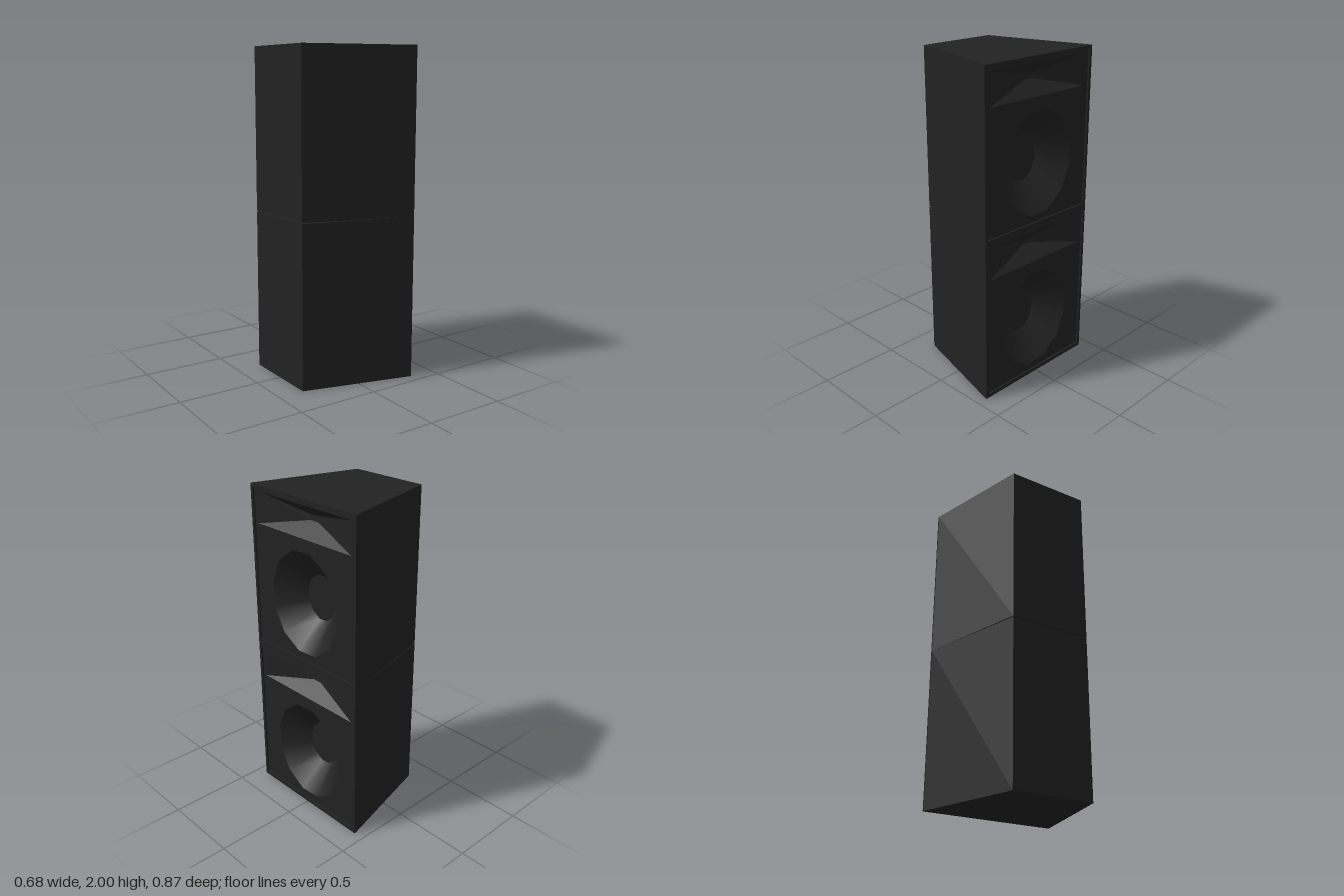
import * as THREE from 'three';

const material = new THREE.MeshStandardMaterial({ color: 0x222222 });

// Rectangle or trapezoid ring, counter-clockwise seen from the baffle side
const rectRing = (half, y0, y1, z, y0Half = half) => [
  [-y0Half, y0, z], [y0Half, y0, z], [half, y1, z], [-half, y1, z]];

// Twelve-sided oval ring
const ovalRing = (rx, ry, cy, z) => Array.from({ length: 12 }, (_, i) => {
  const a = THREE.MathUtils.degToRad(78 + i * 30);
  return [rx * Math.cos(a), cy + ry * Math.sin(a), z];
});

// Skin a series of rings, optionally closing the first and last
function loft(rings, { capStart = false, capEnd = false, smooth = false } = {}) {
  const n = rings[0].length;
  const index = [];
  for (let r = 0; r < rings.length - 1; r++) {
    for (let i = 0; i < n; i++) {
      const j = (i + 1) % n;
      const a = r * n + i, b = r * n + j, c = b + n, d = a + n;
      index.push(a, b, c, a, c, d);
    }
  }
  const last = (rings.length - 1) * n;
  for (let i = 1; i < n - 1; i++) {
    if (capStart) index.push(0, i + 1, i);
    if (capEnd) index.push(last, last + i, last + i + 1);
  }
  let geometry = new THREE.BufferGeometry();
  geometry.setAttribute('position', new THREE.Float32BufferAttribute(rings.flat(2), 3));
  geometry.setIndex(index);
  if (!smooth) geometry = geometry.toNonIndexed();
  geometry.computeVertexNormals();
  return geometry;
}

function part(name, geometry) {
  const mesh = new THREE.Mesh(geometry, material);
  mesh.name = name;
  return mesh;
}

const toPoints = ring => ring.map(([x, y]) => new THREE.Vector2(x, y));

// One cabinet with its baffle facing local +z; backBottom and backTop give the rear wedge
function createCabinet(name, backBottom, backTop) {
  const cabinet = new THREE.Group();
  cabinet.name = name;
  const face = 0.33;

  // Tapered shell, front rim and shallow recess
  cabinet.add(part('shell', loft([
    rectRing(0.26, backBottom, backTop, -0.34),
    rectRing(0.434, 0, 1, 0.33),
    rectRing(0.434, 0, 1, 0.34),
    rectRing(0.415, 0.025, 0.98, 0.34),
    rectRing(0.415, 0.025, 0.98, face),
  ], { capStart: true })));

  // Baffle with horn and woofer openings
  const hornMouth = rectRing(0.39, 0.77, 0.96, face);
  const coneRim = ovalRing(0.28, 0.32, 0.38, face);
  const panel = new THREE.Shape(toPoints(rectRing(0.415, 0.025, 0.98, face)));
  panel.holes.push(new THREE.Path(toPoints(hornMouth)), new THREE.Path(toPoints(coneRim)));
  cabinet.add(part('baffle', new THREE.ShapeGeometry(panel).translate(0, 0, face)));

  // Flared horn
  cabinet.add(part('horn', loft([
    hornMouth, rectRing(0.04, 0.85, 0.885, 0.24, 0.03),
  ], { capEnd: true })));

  // Woofer cone and its flat centre
  const coneBase = ovalRing(0.122, 0.143, 0.38, 0.19);
  cabinet.add(part('wooferCone', loft([coneRim, coneBase], { smooth: true })));
  cabinet.add(part('wooferCentre', loft([coneBase], { capEnd: true })));
  return cabinet;
}

export function createModel() {
  const model = new THREE.Group();
  model.name = 'speakerStack';
  const lower = createCabinet('lowerCabinet', 0, 0.998);
  const upper = createCabinet('upperCabinet', 0.004, 1);
  upper.position.y = 1;
  const stack = new THREE.Group();
  stack.name = 'cabinets';
  stack.add(lower, upper);
  // Baffles look towards +x
  stack.rotation.y = Math.PI / 2;
  model.add(stack);
  return model;
}
